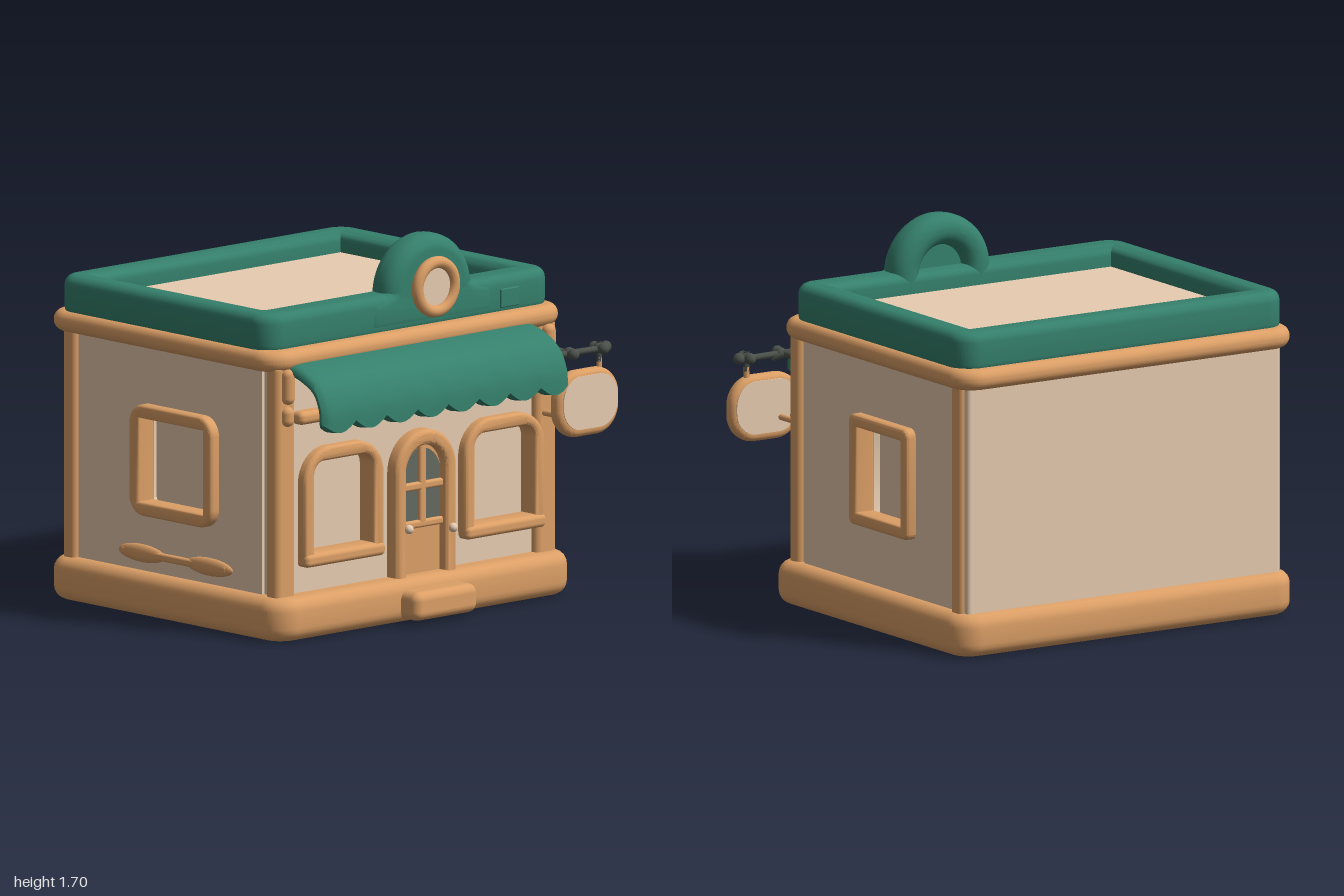
import * as THREE from 'three';
import { toCreasedNormals, mergeVertices } from 'three/addons/utils/BufferGeometryUtils.js';
import { RoundedBoxGeometry } from 'three/addons/geometries/RoundedBoxGeometry.js';

const material = (name, color) => {
  const m = new THREE.MeshStandardMaterial({ color });
  m.name = name;
  return m;
};

// Rectangle with separate corner radii for bottom and top
function rect(x0, x1, y0, y1, rb, rt, Type = THREE.Shape) {
  const s = new Type();
  s.moveTo(x0 + rb, y0);
  s.lineTo(x1 - rb, y0);
  if (rb) s.absarc(x1 - rb, y0 + rb, rb, -Math.PI / 2, 0, false);
  s.lineTo(x1, y1 - rt);
  if (rt) s.absarc(x1 - rt, y1 - rt, rt, 0, Math.PI / 2, false);
  s.lineTo(x0 + rt, y1);
  if (rt) s.absarc(x0 + rt, y1 - rt, rt, Math.PI / 2, Math.PI, false);
  s.lineTo(x0, y0 + rb);
  if (rb) s.absarc(x0 + rb, y0 + rb, rb, Math.PI, Math.PI * 1.5, false);
  return s;
}

// Extrusion from z0 to z1 with a rounded edge that grows the outline by b
function slab(shape, z0, z1, b = 0) {
  const g = new THREE.ExtrudeGeometry(shape, {
    depth: z1 - z0 - 2 * b, bevelEnabled: b > 0, bevelSize: b, bevelThickness: b,
    bevelSegments: 5, curveSegments: 14,
  });
  g.translate(0, 0, z0 + b);
  return toCreasedNormals(g, 0.7);
}

export function createModel() {
  const model = new THREE.Group();
  model.name = 'shop';
  const green = material('green', 0x35806c);
  const wood = material('wood', 0xdc9f66);
  const cream = material('cream', 0xf2d5b8);
  const iron = material('iron', 0x4b504a);
  const glass = material('glass', 0x636960);

  const add = (name, geo, mat, parent = model) => {
    const m = new THREE.Mesh(geo, mat);
    m.name = name;
    parent.add(m);
    return m;
  };
  const box = (name, mat, x0, x1, y0, y1, z0, z1, r = 0.02, parent = model) => {
    const m = add(name, new RoundedBoxGeometry(x1 - x0, y1 - y0, z1 - z0, 4, r), mat, parent);
    m.position.set((x0 + x1) / 2, (y0 + y1) / 2, (z0 + z1) / 2);
    return m;
  };
  const rod = (name, mat, a, b, r) => {
    const curve = new THREE.LineCurve3(new THREE.Vector3(...a), new THREE.Vector3(...b));
    return add(name, new THREE.TubeGeometry(curve, 1, r, 10), mat);
  };
  const ball = (name, mat, x, y, z, r, parent = model) => {
    const m = add(name, new THREE.SphereGeometry(r, 20, 14), mat, parent);
    m.position.set(x, y, z);
    return m;
  };

  // Horizontal band around the building, with an optional opening [x0, x1, z0, z1]
  const band = (name, mat, [x0, x1, z0, z1], y0, y1, r, b, hole) => {
    const s = rect(x0 + b, x1 - b, -z1 + b, -z0 - b, r, r);
    if (hole) s.holes.push(rect(hole[0] - b, hole[1] + b, -hole[3] - b, -hole[2] + b, 0.03, 0.03, THREE.Path));
    add(name, slab(s, y0, y1, b).rotateX(-Math.PI / 2), mat);
  };

  // Base, cornice and roof parapet
  band('basePlinth', wood, [-0.985, 0.815, -0.85, 0.685], 0.0, 0.195, 0.06, 0.06);
  band('cornice', wood, [-0.98, 0.81, -0.86, 0.635], 1.205, 1.3, 0.08, 0.045);
  band('parapet', green, [-0.95, 0.78, -0.81, 0.57], 1.27, 1.458, 0.06, 0.045, [-0.82, 0.64, -0.67, 0.41]);
  box('buildingCore', cream, -0.82, 0.64, 0.1, 1.36, -0.78, 0.515, 0.005);
  box('roof', cream, -0.86, 0.69, 1.3, 1.365, -0.72, 0.46, 0.005);
  box('backWall', cream, -0.915, 0.745, 0.1, 1.28, -0.8, -0.7, 0.02);

  // Wall with window openings, each w = [x0, x1, y0, y1, bottom radius, top radius, frame width]
  const wall = (name, x0, x1, plane, windows, angle) => {
    const g = new THREE.Group();
    g.name = name;
    g.rotation.y = angle;
    model.add(g);
    const face = rect(x0, x1, 0.1, 1.28, 0, 0);
    for (const [a, b, c, d, rb, rt, w] of windows) {
      const e = 0.018, h = w / 2;
      face.holes.push(rect(a + h, b - h, c + h, d - h, Math.max(rb - h, 0.01), Math.max(rt - h, 0.01), THREE.Path));
      const f = rect(a + e, b - e, c + e, d - e, rb, rt);
      f.holes.push(rect(a + w - e, b - w + e, c + w - e, d - w + e, Math.max(rb - w, 0.01), Math.max(rt - w, 0.012), THREE.Path));
      add('windowFrame', slab(f, plane - 0.06, plane + 0.05, e), wood, g);
    }
    add('wallPanel', slab(face, plane - 0.11, plane), cream, g);
    return g;
  };
  wall('frontWall', -0.9, 0.73, 0.575, [
    [-0.77, -0.29, 0.31, 0.84, 0.02, 0.14, 0.062],
    [0.195, 0.68, 0.31, 0.84, 0.02, 0.14, 0.062],
  ], 0);
  wall('leftWall', -0.5, 0.76, 0.745, [[-0.085, 0.385, 0.455, 0.955, 0.015, 0.02, 0.058]], Math.PI / 2);
  const rightWall = wall('rightWall', -0.76, 0.5, 0.915, [[-0.32, 0.22, 0.45, 0.95, 0.07, 0.07, 0.062]], -Math.PI / 2);

  // Window sills
  for (const x of [-0.53, 0.4375]) box('windowSill', wood, x - 0.24, x + 0.24, 0.31, 0.37, 0.55, 0.635, 0.022);

  // Flat plank low on the right wall, wider at both ends
  box('plank', wood, -0.4, 0.28, 0.255, 0.29, 0.9, 0.935, 0.012, rightWall);
  for (const x of [-0.28, 0.16]) ball('plankEnd', wood, x, 0.272, 0.915, 0.15, rightWall).scale.set(1, 0.27, 0.18);

  // Corner posts with narrow capitals
  for (const [x0, x1] of [[-0.93, -0.81], [0.635, 0.76]]) {
    box('frontPost', wood, x0, x1, 0.12, 1.24, 0.53, 0.612, 0.03);
    box('postCapital', wood, x0 + 0.03, x1 - 0.03, 1.06, 1.22, 0.54, 0.65, 0.03);
    box('postCollar', wood, x0 + 0.03, x1 - 0.03, 0.96, 1.05, 0.54, 0.645, 0.03);
  }
  for (const [x0, x1] of [[-0.94, -0.85], [0.68, 0.77]])
    box('backPost', wood, x0, x1, 0.12, 1.24, -0.775, -0.695, 0.025);
  box('awningBeam', wood, -0.8, 0.63, 0.955, 1.015, 0.55, 0.63, 0.025);

  // Rounded sign arch above the parapet: front plate and a thick rim, hollow behind
  const arch = new THREE.Shape();
  arch.moveTo(-0.29, 1.34);
  arch.lineTo(-0.29, 1.4);
  arch.quadraticCurveTo(-0.19, 1.405, -0.145, 1.44);
  arch.absarc(0.05, 1.44, 0.195, Math.PI, 0, true);
  arch.quadraticCurveTo(0.29, 1.405, 0.37, 1.4);
  arch.lineTo(0.37, 1.34);
  add('signArch', slab(arch, 0.474, 0.574, 0.045), green);
  const rim = new THREE.Shape();
  rim.moveTo(-0.14, 1.38);
  rim.lineTo(-0.14, 1.44);
  rim.absarc(0.05, 1.44, 0.19, Math.PI, 0, true);
  rim.lineTo(0.24, 1.38);
  rim.lineTo(0.235, 1.38);
  rim.lineTo(0.235, 1.44);
  rim.absarc(0.05, 1.44, 0.185, 0, Math.PI, false);
  rim.lineTo(-0.135, 1.38);
  add('archRim', slab(rim, 0.41, 0.573, 0.067), green);
  add('medallionRing', new THREE.TorusGeometry(0.11, 0.027, 12, 40), wood).position.set(0.035, 1.47, 0.603);
  add('medallionFace', new THREE.CylinderGeometry(0.11, 0.11, 0.04, 32).rotateX(Math.PI / 2), cream)
    .position.set(0.035, 1.47, 0.585);
  box('parapetPatch', green, 0.45, 0.56, 1.315, 1.4, 0.56, 0.58, 0.006);

  // Curved awning with a scalloped hem, thinning at both ends
  const profile = new THREE.CatmullRomCurve3([
    [1.215, 0.59], [1.195, 0.68], [1.14, 0.782], [1.06, 0.825], [0.985, 0.833],
  ].map(([y, z]) => new THREE.Vector3(0, y, z)));
  let awning = new THREE.BoxGeometry(1, 1, 1, 96, 16, 1);
  const p = awning.attributes.position;
  for (let i = 0; i < p.count; i++) {
    const u = p.getX(i) + 0.5, t = 0.5 - p.getY(i);
    const end = Math.sqrt(1.05 - (2 * u - 1) ** 30);
    const side = p.getZ(i) * 0.062 * end;
    const c = profile.getPoint(t), d = profile.getTangent(t);
    const drop = (0.045 * Math.abs(Math.sin(u * 8 * Math.PI)) - 0.012) * t ** 4;
    p.setXYZ(i, -0.865 + u * 1.47 + (u - 0.5) * 0.012 * t, c.y + d.z * side - drop, c.z - d.y * side);
  }
  awning.deleteAttribute('normal');
  awning.deleteAttribute('uv');
  awning = toCreasedNormals(mergeVertices(awning), 0.8);
  add('awning', awning, green);

  // Door with arched frame, panes and knobs
  const frame = rect(-0.21, 0.11, 0.12, 0.82, 0, 0.159);
  frame.holes.push(rect(-0.19, 0.09, 0.14, 0.795, 0, 0.139, THREE.Path));
  add('doorFrame', slab(frame, 0.55, 0.64, 0.022), wood);
  add('doorLeaf', slab(rect(-0.2, 0.1, 0.12, 0.8, 0, 0.149), 0.55, 0.592), wood);
  add('doorGlass', slab(rect(-0.165, 0.065, 0.43, 0.755, 0, 0.114), 0.59, 0.597), glass);
  box('doorMullion', wood, -0.07, -0.03, 0.42, 0.78, 0.585, 0.615, 0.012);
  box('doorCrossbar', wood, -0.175, 0.075, 0.57, 0.607, 0.585, 0.615, 0.012);
  box('doorRail', wood, -0.175, 0.075, 0.4, 0.435, 0.585, 0.615, 0.012);
  ball('doorKnob', cream, -0.165, 0.41, 0.645, 0.021);
  ball('doorKnob', cream, 0.1, 0.385, 0.645, 0.021);
  box('doorStep', wood, -0.25, 0.13, 0.02, 0.15, 0.55, 0.785, 0.04);

  // Hanging sign board with a face on both sides
  add('signBoard', slab(rect(0.65, 0.965, 0.75, 0.99, 0.1, 0.1), 0.7, 0.77, 0.03), wood);
  add('signFace', slab(rect(0.648, 0.972, 0.756, 0.995, 0.105, 0.105), 0.696, 0.774), cream);
  for (const x of [0.68, 0.74]) rod('signStay', wood, [x, 0.82, 0.57], [x, 0.82, 0.71], 0.014);

  // Iron bracket
  rod('bracketArm', iron, [0.6, 1.1, 0.73], [0.95, 1.095, 0.73], 0.015);
  rod('bracketWallArm', iron, [0.71, 1.1, 0.59], [0.71, 1.1, 0.78], 0.017);
  rod('bracketBrace', iron, [0.64, 1.13, 0.64], [0.76, 1.08, 0.74], 0.016);
  rod('bracketHanger', iron, [0.9, 1.13, 0.73], [0.9, 1.04, 0.73], 0.013);
  rod('signLoop', wood, [0.9, 1.06, 0.73], [0.9, 0.99, 0.73], 0.013);
  for (const [x, z] of [[0.72, 0.73], [0.71, 0.77], [0.9, 0.73], [0.9, 0.7], [0.9, 0.76], [0.94, 0.73], [0.64, 0.64]])
    ball('bracketKnot', iron, x, 1.1, z, 0.026);

  return model;
}
